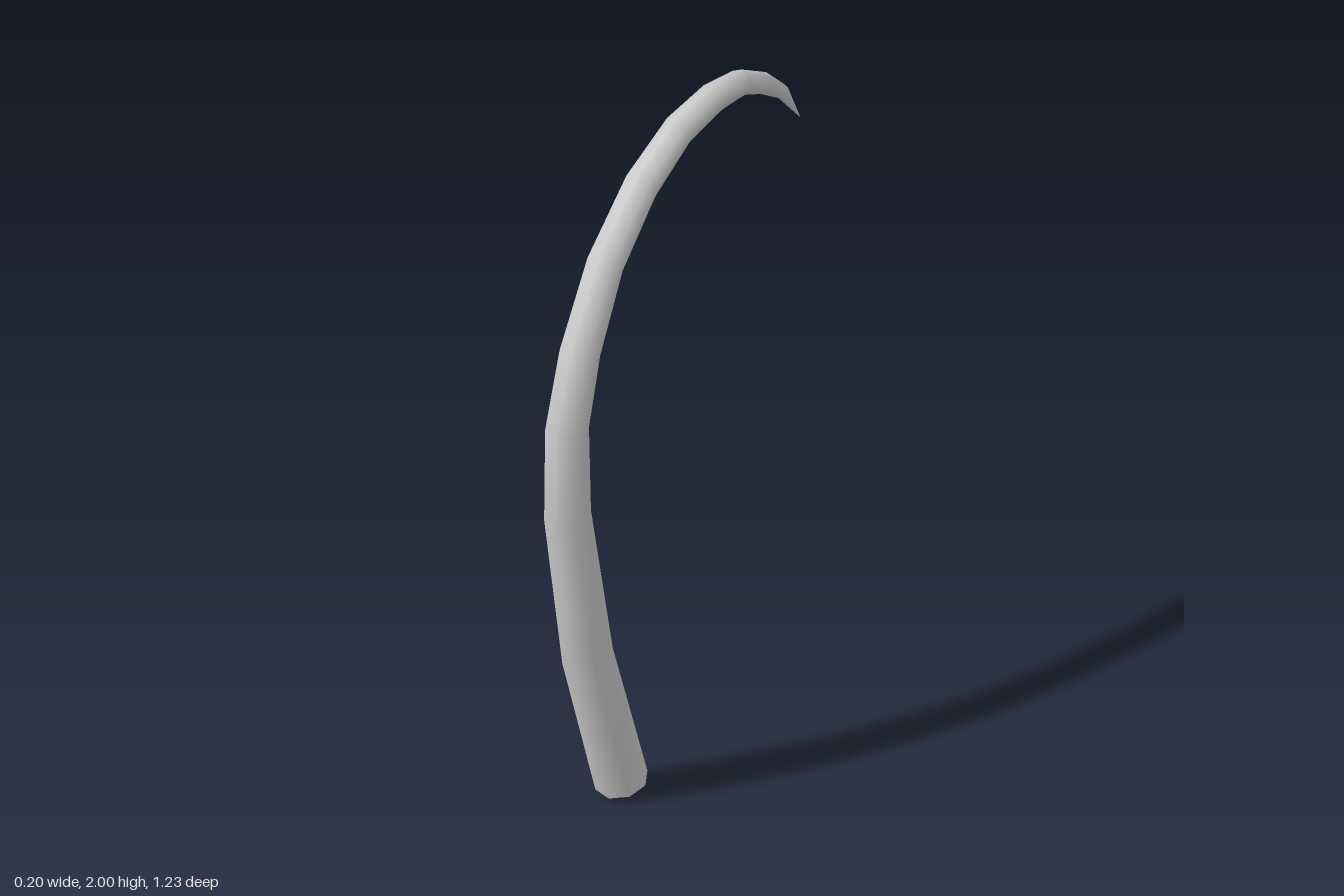
import * as THREE from 'three';

const SIDES = 8;

// Centre line stations from the base to the tip: x, y, z, radius
const STATIONS = [
  [0.02, 0.035, 0.343, 0.076],
  [-0.016, 0.49, 0.472, 0.073],
  [-0.035, 0.975, 0.552, 0.067],
  [-0.037, 1.25, 0.551, 0.063],
  [-0.024, 1.468, 0.501, 0.06],
  [-0.01, 1.692, 0.381, 0.055],
  [0.008, 1.855, 0.207, 0.051],
  [0.023, 1.938, 0.018, 0.046],
  [0.04, 1.958, -0.15, 0.042],
  [0.05, 1.938, -0.284, 0.037],
  [0.056, 1.87, -0.412, 0.031],
  [0.06, 1.795, -0.508, 0.021],
  [0.061, 1.66, -0.612, 0.001],
];

// Ring of points around a station, square to the bend there
function ring(i) {
  const at = (k) => new THREE.Vector3(...STATIONS[k].slice(0, 3));
  const last = STATIONS.length - 1;
  const c = at(i), r = STATIONS[i][3];
  const before = i > 0 ? c.clone().sub(at(i - 1)).normalize() : new THREE.Vector3();
  const after = i < last ? at(i + 1).sub(c).normalize() : new THREE.Vector3();
  const t = before.add(after).normalize();
  const side = new THREE.Vector3(1, 0, 0).addScaledVector(t, -t.x).normalize();
  const up = t.clone().cross(side);
  return Array.from({ length: SIDES }, (_, j) => {
    const a = (j / SIDES) * Math.PI * 2;
    return c.clone().addScaledVector(side, r * Math.cos(a)).addScaledVector(up, r * Math.sin(a));
  });
}

function build(points, index) {
  const g = new THREE.BufferGeometry().setFromPoints(points);
  g.setIndex(index);
  g.computeVertexNormals();
  return g;
}

export function createModel() {
  const group = new THREE.Group();
  group.name = 'curvedHorn';
  const material = new THREE.MeshStandardMaterial({ color: 0xcccccc });
  const add = (name, geometry) => {
    const mesh = new THREE.Mesh(geometry, material);
    mesh.name = name;
    group.add(mesh);
  };

  // Tapering curved shaft
  const points = STATIONS.flatMap((_, i) => ring(i));
  const index = [];
  for (let i = 0; i < STATIONS.length - 1; i++) {
    for (let j = 0; j < SIDES; j++) {
      const k = (j + 1) % SIDES;
      const a = i * SIDES + j, b = i * SIDES + k;
      index.push(a, b, b + SIDES, a, b + SIDES, a + SIDES);
    }
  }
  add('shaft', build(points, index));

  // Shallow pointed cap closing the base
  const cap = [...ring(0), new THREE.Vector3(0.01, 0, 0.332)];
  const capIndex = [];
  for (let j = 0; j < SIDES; j++) capIndex.push(SIDES, (j + 1) % SIDES, j);
  add('baseCap', build(cap, capIndex));

  return group;
}
